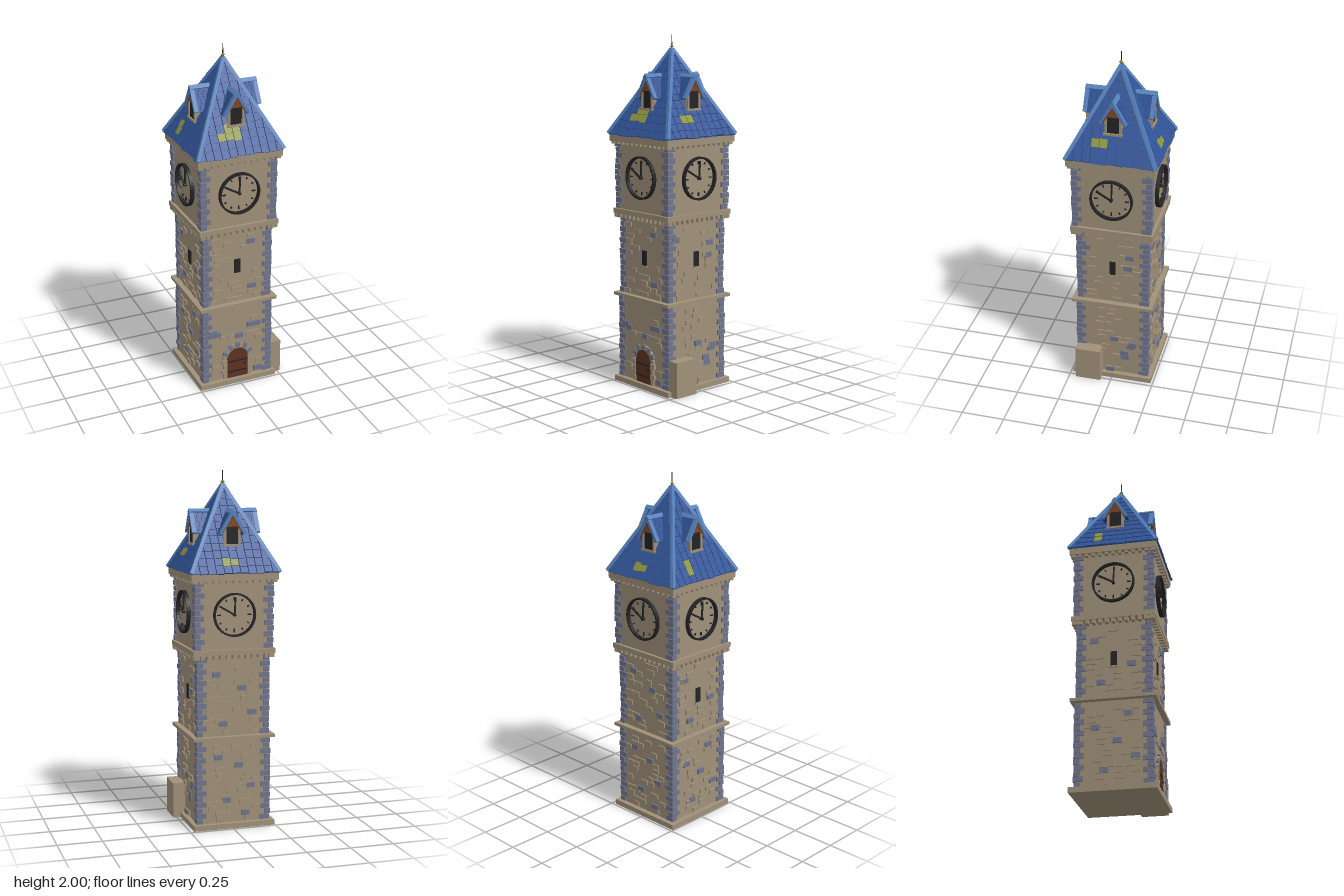
import * as THREE from 'three';
import { mergeGeometries } from 'three/addons/utils/BufferGeometryUtils.js';

const mat = (name, color) => Object.assign(new THREE.MeshStandardMaterial({ color }), { name });
const M = {
  stone: mat('sandstone', 0x9f9078), blue: mat('blueGreyStone', 0x6f748c),
  black: mat('blackIron', 0x232326), wood: mat('darkWood', 0x5c3220),
  timber: mat('redTimber', 0x7d4526), tile: mat('blueTile', 0x315498),
  under: mat('navyUnderlay', 0x1f335c), trim: mat('lightBlueTrim', 0x5580bb),
  moss: mat('mossyTile', 0x8c9640), gold: mat('gold', 0x8f8526),
};

let seed = 7;
const rnd = () => (seed = (seed * 16807) % 2147483647) / 2147483647;
const range = (a, b) => a + (b - a) * rnd();

const box = (w, h, d, x, y, z) => new THREE.BoxGeometry(w, h, d).translate(x, y, z);
const cbox = (w, y0, y1) => box(w * 2, y1 - y0, w * 2, 0, (y0 + y1) / 2, 0);
const plate = (shape, depth, z) =>
  new THREE.ExtrudeGeometry(shape, { depth, bevelEnabled: false, curveSegments: 20 }).translate(0, 0, z);
const poly = (pts) => new THREE.Shape(pts.map((p) => new THREE.Vector2(p[0], p[1])));

function put(parent, name, material, geos) {
  if (!geos.length) return;
  const mesh = new THREE.Mesh(mergeGeometries(geos.map((g) => (g.index ? g.toNonIndexed() : g))), material);
  mesh.name = name;
  parent.add(mesh);
}

// Bar of square section between two points, rolled about its length
function bar(a, b, w, h, roll = 0) {
  const A = new THREE.Vector3(...a), B = new THREE.Vector3(...b);
  const o = new THREE.Object3D();
  o.position.copy(A).lerp(B, 0.5);
  o.lookAt(B);
  o.updateMatrix();
  return new THREE.BoxGeometry(w, h, A.distanceTo(B)).rotateZ(roll).applyMatrix4(o.matrix);
}

// Storeys: wall half width, bottom, top
const LOW = [0.208, 0.03, 0.51], MID = [0.203, 0.53, 0.98], TOP = [0.22, 1.02, 1.405];
const EAVE = 1.443, RISE = 0.475, HALF = 0.25, SLOPE = Math.hypot(HALF, RISE);

// Per face: blue stones [x, y], mossy tiles [row, xMin, xMax]
const FACES = [
  { name: 'front', angle: 0, slit: true, door: true, chance: 0.26,
    blue: [[0.08, 0.9], [0.09, 0.615], [-0.155, 0.35], [-0.13, 0.335], [0.085, 0.365], [0.12, 0.365], [0.01, 0.305], [0.13, 0.06]],
    moss: [[2, -0.12, 0.01], [3, -0.05, 0.02]] },
  { name: 'right', angle: Math.PI / 2, slit: true, chance: 0.3,
    blue: [[0.1, 0.84], [0.09, 0.77], [-0.155, 0.88], [0.01, 0.27], [0.11, 0.225], [0.07, 0.175], [0.075, 0.145], [-0.015, 0.045], [0.12, 0.24]],
    moss: [[2, -0.12, -0.02]] },
  { name: 'back', angle: Math.PI, chance: 0.36,
    blue: [[-0.1, 0.88], [0.05, 0.8], [0.11, 0.66], [-0.06, 0.6], [-0.09, 0.41], [0.03, 0.36], [0.1, 0.24], [-0.04, 0.16], [0.07, 0.08]],
    moss: [[1, -0.07, 0.02]] },
  { name: 'left', angle: -Math.PI / 2, slit: true, chance: 0.36,
    blue: [[-0.11, 0.87], [0.1, 0.72], [-0.07, 0.62], [0.08, 0.43], [-0.1, 0.36], [0.02, 0.28], [0.12, 0.19], [-0.05, 0.12]],
    moss: [[1, -0.12, -0.07], [2, -0.13, -0.08]] },
];

// Raised stones scattered in courses over the two lower storeys
function masonry(face, f) {
  const tan = [], blue = [];
  for (const [w, y0, y1] of [LOW, MID]) {
    for (let y = y0 + 0.02; y < y1 - 0.03; y += 0.032) {
      for (let x = -0.145 + range(0, 0.03); x < 0.145; x += range(0.045, 0.06)) {
        const inDoor = f.door && y < 0.28 && Math.abs(x) < 0.125;
        const inSlit = f.slit && Math.abs(y - 0.757) < 0.07 && Math.abs(x) < 0.06;
        if (inDoor || inSlit || rnd() > f.chance) continue;
        tan.push(box(range(0.035, 0.06), range(0.022, 0.03), 0.016, x, y, w));
      }
    }
  }
  for (const [x, y] of f.blue) blue.push(box(0.048, 0.029, 0.019, x, y, y < 0.52 ? LOW[0] : MID[0]));
  put(face, 'raisedStones', M.stone, tan);
  put(face, 'blueStones', M.blue, blue);
}

function clock(face) {
  const ring = new THREE.Shape().absarc(0, 0, 0.121, 0, Math.PI * 2);
  ring.holes.push(new THREE.Path().absarc(0, 0, 0.111, 0, Math.PI * 2, true));
  const geos = [plate(ring, 0.022, 0)];
  for (let i = 0; i < 12; i++) {
    const len = i % 3 ? 0.012 : 0.02;
    geos.push(box(0.006, len, 0.008, 0, 0.098 - len / 2, 0.004).rotateZ((i * Math.PI) / 6));
  }
  geos.push(box(0.008, 0.105, 0.008, 0, 0.045, 0.01).rotateZ(-0.05));
  geos.push(box(0.01, 0.105, 0.008, 0, 0.045, 0.012).rotateZ(Math.PI / 3));
  geos.push(new THREE.CylinderGeometry(0.009, 0.009, 0.02, 12).rotateX(Math.PI / 2).translate(0, 0, 0.008));
  put(face, 'clock', M.black, geos.map((g) => g.translate(0, 1.214, TOP[0])));
}

function door(face) {
  const s = new THREE.Shape().moveTo(-0.065, 0.03).lineTo(0.065, 0.03).lineTo(0.065, 0.16);
  s.absarc(0, 0.16, 0.065, 0, Math.PI);
  put(face, 'door', M.wood, [plate(s, 0.008, LOW[0])]);
  put(face, 'doorIron', M.black, [0.072, 0.14].map((y) => box(0.12, 0.008, 0.004, 0, y, LOW[0] + 0.009))
    .concat(box(0.01, 0.014, 0.008, 0.045, 0.115, LOW[0] + 0.01)));
  // Arch stones alternate in colour
  const sets = [[], []];
  for (let i = 0; i < 11; i++) {
    const a = ((i + 0.5) / 11 - 0.5) * Math.PI;
    sets[i % 2].push(box(0.021, i % 2 ? 0.034 : 0.026, 0.026, 0, 0.081, 0).rotateZ(a).translate(0, 0.16, LOW[0]));
  }
  for (const x of [-1, 1]) for (let i = 0; i < 4; i++)
    sets[0].push(box(i % 2 ? 0.034 : 0.022, 0.03, 0.026, x * (i % 2 ? 0.082 : 0.077), 0.046 + i * 0.032, LOW[0]));
  put(face, 'archStones', M.stone, sets[0]);
  put(face, 'archBlueStones', M.blue, sets[1]);
}

// Overlapping tiles in courses, trimmed along the hips
function roofTiles(face, f) {
  const tiles = [], mossy = [], rows = 12, step = SLOPE / rows;
  const hw = (v) => Math.max(0, HALF * (1 - v / SLOPE));
  const lean = -Math.atan(HALF / RISE);
  for (let r = 0; r < rows; r++) {
    const v0 = r * step, a = hw(v0), b = hw(v0 + step * 1.15);
    const pitch = 0.046;
    for (let x = -a - (r % 2) * pitch / 2; x < a; x += pitch) {
      const clamp = (u, h) => Math.min(h, Math.max(-h, u));
      const l = clamp(x + 0.002, a), rt = clamp(x + pitch - 0.002, a);
      if (rt - l < 0.004) continue;
      const tl = clamp(x + 0.002, b), tr = clamp(x + pitch - 0.002, b), drop = range(-0.007, 0.003);
      const pts = [[l, drop], [rt, drop + range(-0.002, 0.002)], [tr, step * 1.15]];
      if (tr - tl > 0.001) pts.push([tl, step * 1.15]);
      const g = plate(poly(pts), 0.008, 0.003).rotateX(-0.1).translate(0, v0, 0)
        .rotateX(lean).translate(0, EAVE, HALF);
      const c = (l + rt) / 2;
      (f.moss.some(([m, p, q]) => m === r && c > p && c < q) ? mossy : tiles).push(g);
    }
  }
  put(face, 'roofTiles', M.tile, tiles);
  put(face, 'mossyTiles', M.moss, mossy);
}

function dormer(face) {
  const g = new THREE.Group();
  g.name = 'dormer';
  face.add(g);
  const wall = poly([[-0.048, 1.585], [0.048, 1.585], [0.048, 1.68], [0, 1.755], [-0.048, 1.68]]);
  put(g, 'dormerWall', M.stone, [plate(wall, 0.1, 0.078), box(0.105, 0.012, 0.025, 0, 1.594, 0.178),
    ...[-1, 1].map((s) => box(0.012, 0.1, 0.014, s * 0.041, 1.648, 0.179))]);
  put(g, 'dormerWindow', M.black, [box(0.066, 0.096, 0.004, 0, 1.648, 0.179)]);
  put(g, 'gableTimber', M.timber, [plate(poly([[-0.045, 1.698], [0.045, 1.698], [0, 1.757]]), 0.006, 0.178),
    box(0.1, 0.01, 0.012, 0, 1.7, 0.182),
    ...[-1, 1].map((s) => bar([0, 1.757, 0.183], [s * 0.056, 1.665, 0.183], 0.012, 0.012))]);
  const tilt = Math.atan2(0.12, 0.07), len = Math.hypot(0.07, 0.12);
  const slabs = [], tiles = [], trim = [bar([0, 1.772, 0.06], [0, 1.772, 0.198], 0.025, 0.025, Math.PI / 4)];
  for (const s of [-1, 1]) {
    const place = (q) => q.rotateZ(-s * tilt).translate(0, 1.775, 0);
    slabs.push(place(box(len, 0.008, 0.115, s * len / 2, -0.004, 0.127)));
    for (let r = 0; r < 4; r++) for (let c = 0; c < 4; c++)
      tiles.push(place(box(0.038, 0.007, 0.026, 0, 0, 0).rotateZ(-s * 0.1)
        .translate(s * (0.018 + r * 0.034 + range(0, 0.005)), 0.003, 0.078 + c * 0.028 + (r % 2) * 0.01)));
    trim.push(place(box(len, 0.016, 0.024, s * len / 2, 0.001, 0.186)));
  }
  put(g, 'dormerRoof', M.under, slabs);
  put(g, 'dormerTiles', M.tile, tiles);
  put(g, 'dormerTrim', M.trim, trim);
}

export function createModel() {
  const root = new THREE.Group(), tower = new THREE.Group();
  root.name = 'clockTower';
  tower.name = 'tower';
  tower.position.x = -0.01;
  root.add(tower);

  // Walls, plinth, string courses and cornice
  put(tower, 'walls', M.stone, [LOW, MID, TOP].map(([w, a, b]) => cbox(w, a, b)));
  put(tower, 'plinth', M.stone, [cbox(0.237, 0, 0.03)]);
  put(tower, 'stringCourses', M.stone, [cbox(0.237, 0.512, 0.53), cbox(0.237, 0.992, 1.02), cbox(0.25, 1.405, EAVE)]);
  put(tower, 'sideBlock', M.stone, [box(0.08, 0.205, 0.15, 0.24, 0.1025, 0.135)]);

  // Corner stones alternate long and short
  const quoins = [];
  for (const [w, y0, y1] of [LOW, MID, TOP]) {
    const n = Math.round((y1 - y0) / 0.033), h = (y1 - y0) / n;
    for (const sx of [-1, 1]) for (const sz of [-1, 1]) for (let i = 0; i < n; i++) {
      const odd = (i + (sx * sz > 0)) % 2, out = w + range(0.005, 0.01);
      const lx = odd ? 0.055 : 0.034, lz = odd ? 0.034 : 0.055;
      quoins.push(box(lx, h - 0.004, lz, sx * (out - lx / 2), y0 + (i + 0.5) * h, sz * (out - lz / 2)));
    }
  }
  put(tower, 'cornerStones', M.blue, quoins);

  for (const f of FACES) {
    const face = new THREE.Group();
    face.name = f.name + 'Side';
    face.rotation.y = f.angle;
    tower.add(face);
    masonry(face, f);
    clock(face);
    if (f.door) door(face);
    if (f.slit) {
      put(face, 'slitWindow', M.black, [box(0.036, 0.085, 0.008, 0, 0.757, MID[0] + 0.002)]);
      put(face, 'slitSill', M.stone, [box(0.05, 0.01, 0.02, 0, 0.709, MID[0])]);
    }
    // Corbel teeth below the upper course and the cornice
    const teeth = [];
    for (let i = 0; i < 13; i++) {
      const t = (i - 6) / 6;
      teeth.push(box(0.02, 0.024, 0.035, t * 0.222, 0.981, 0.2165), box(0.02, 0.016, 0.03, t * 0.232, 1.398, 0.229));
    }
    put(face, 'corbels', M.stone, teeth);
    roofTiles(face, f);
    dormer(face);
  }

  // Roof core, hip caps and finial
  put(tower, 'roofCore', M.under, [new THREE.ConeGeometry(HALF * Math.SQRT2, RISE, 4, 1).toNonIndexed()
    .rotateY(Math.PI / 4).translate(0, EAVE + RISE / 2, 0)]);
  const hips = [];
  for (const x of [-1, 1]) for (const z of [-1, 1])
    hips.push(bar([x * 0.254, EAVE + 0.004, z * 0.254], [0, EAVE + RISE + 0.004, 0], 0.02, 0.02, Math.PI / 4));
  put(tower, 'hipCaps', M.trim, hips);
  put(tower, 'finial', M.gold, [new THREE.OctahedronGeometry(0.013).translate(0, 1.937, 0)]);
  put(tower, 'spike', M.black, [new THREE.CylinderGeometry(0.002, 0.004, 0.09, 6).translate(0, 1.955, 0)]);
  return root;
}
